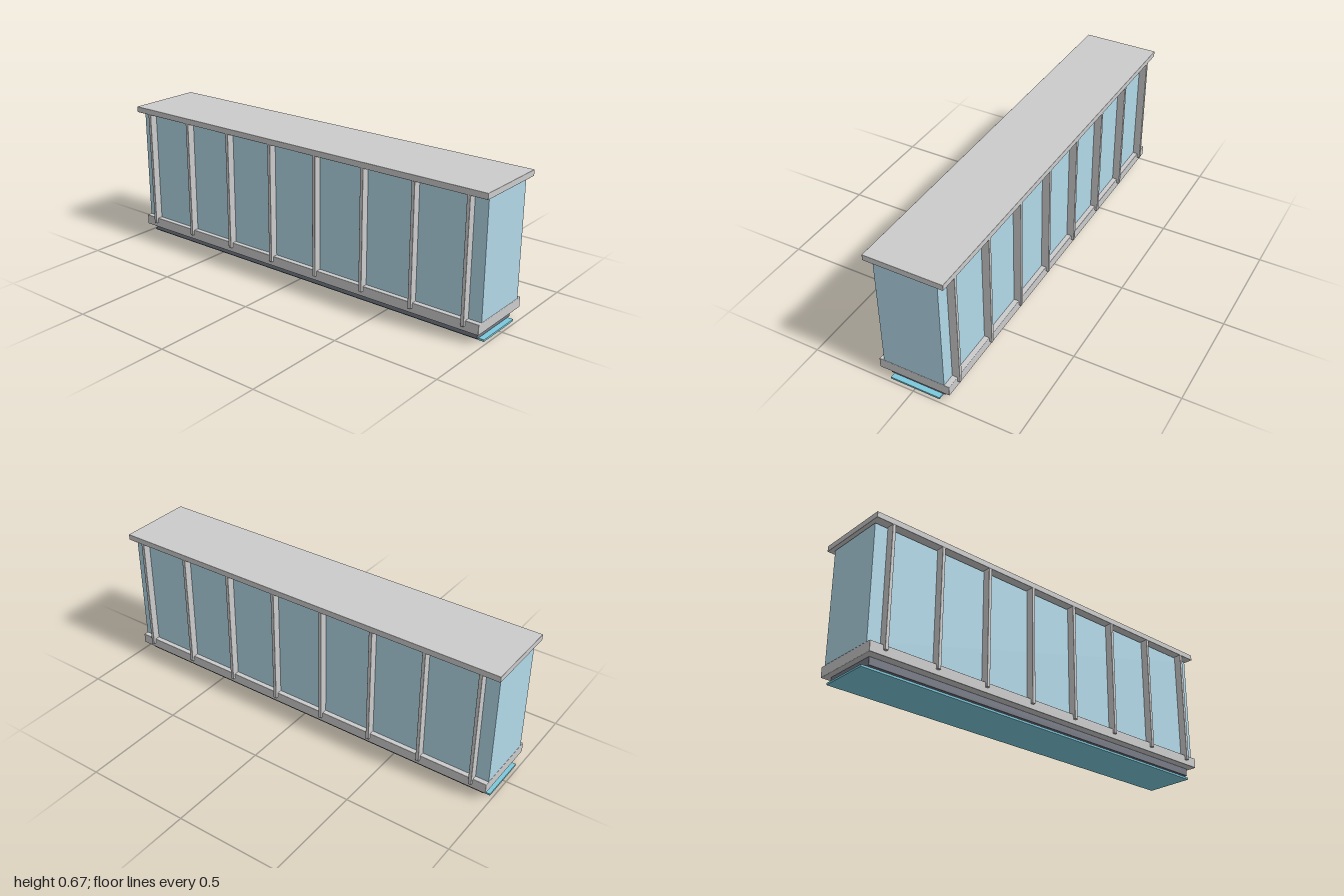
import * as THREE from 'three';
import { RoundedBoxGeometry } from 'three/addons/geometries/RoundedBoxGeometry.js';

export function createModel() {
  const group = new THREE.Group();
  const grey = new THREE.MeshStandardMaterial({ color: 0xcccccc });
  const dark = new THREE.MeshStandardMaterial({ color: 0x757984 });
  const glass = new THREE.MeshStandardMaterial({ color: 0xb2d8e8 });
  const cyan = new THREE.MeshStandardMaterial({ color: 0x7cc8dc });

  // Box centred on x and z, from y0 to y1, with softened edges if r > 0
  function slab(name, width, y0, y1, depth, material, r = 0, x = 0) {
    const h = y1 - y0;
    const geometry = r > 0
      ? new RoundedBoxGeometry(width, h, depth, 2, r)
      : new THREE.BoxGeometry(width, h, depth);
    const mesh = new THREE.Mesh(geometry, material);
    mesh.name = name;
    mesh.position.set(x, (y0 + y1) / 2, 0);
    group.add(mesh);
    return mesh;
  }

  // Base, from the glowing strip underneath up to the sill
  slab('underLight', 1.97, 0, 0.009, 0.242, cyan);
  slab('plinth', 1.92, 0.009, 0.047, 0.27, dark, 0.003);
  slab('sill', 1.97, 0.048, 0.097, 0.344, grey, 0.003);

  // Glazed body and roof
  slab('glassBody', 1.968, 0.097, 0.64, 0.296, glass);
  slab('roof', 2, 0.645, 0.673, 0.37, grey, 0.002);

  // Eight fins running through the body and standing proud on both sides
  const fins = 8, reach = 0.913;
  for (let i = 0; i < fins; i++) {
    const x = -reach + (2 * reach * i) / (fins - 1);
    slab('fin' + (i + 1), 0.016, 0.072, 0.646, 0.37, grey, 0.002, x);
  }
  return group;
}
